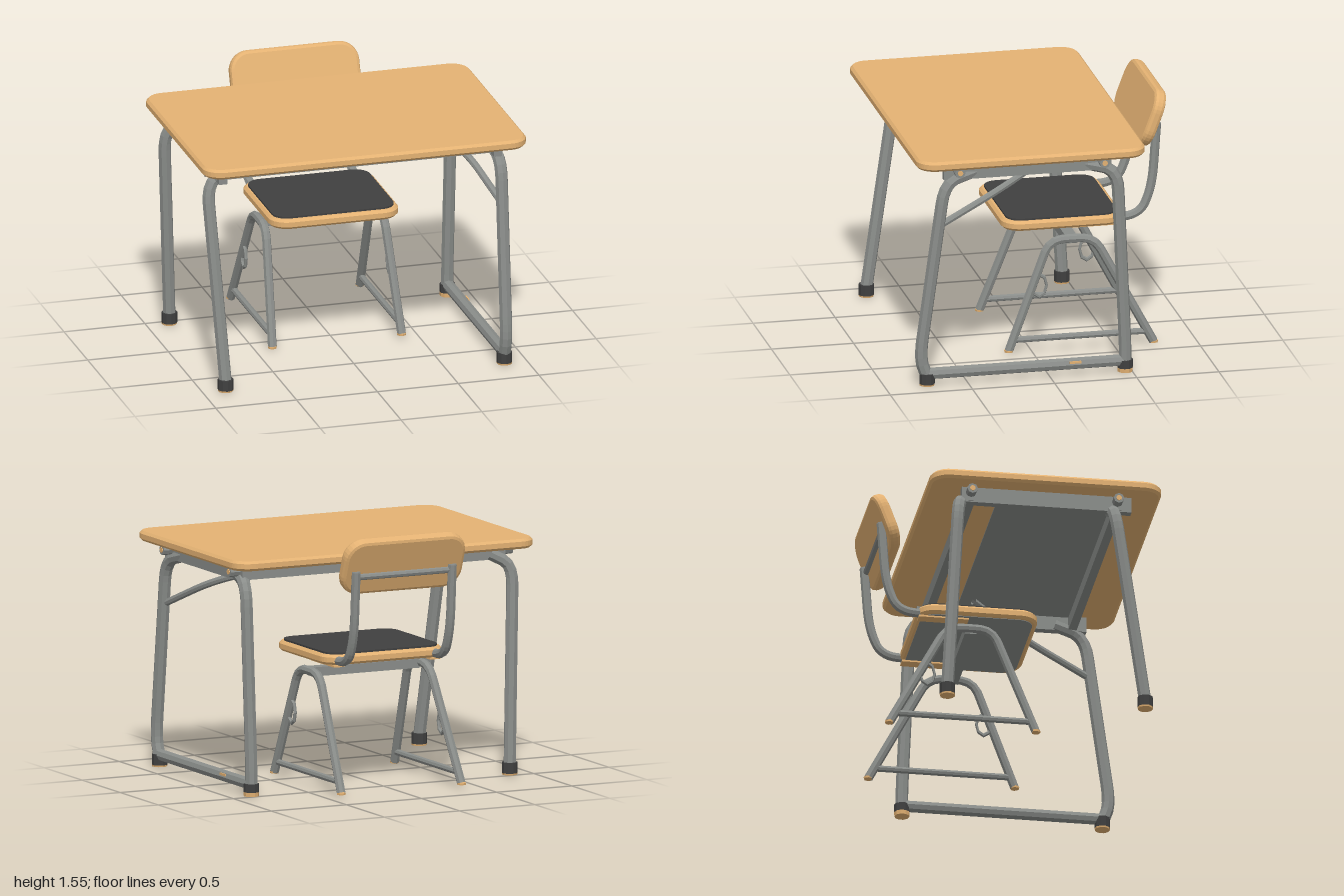
import * as THREE from 'three';

const mat = (name, color) => {
  const m = new THREE.MeshStandardMaterial({ color, flatShading: true, side: THREE.DoubleSide });
  m.name = name;
  return m;
};
const V = (p) => new THREE.Vector3(...p);

export function createModel() {
  const wood = mat('wood', 0xe4b273);
  const metal = mat('grey metal', 0x8a8d8a);
  const dark = mat('dark grey', 0x404040);

  const root = new THREE.Group();
  const table = new THREE.Group();
  const chair = new THREE.Group();
  table.name = 'table';
  chair.name = 'chair';
  root.add(table, chair);

  const add = (parent, name, geo, material, pos = [0, 0, 0]) => {
    const mesh = new THREE.Mesh(geo, material);
    mesh.name = name;
    mesh.position.set(...pos);
    parent.add(mesh);
    return mesh;
  };

  const roundedRect = (x0, x1, y0, y1, r) => {
    const s = new THREE.Shape();
    s.absarc(x1 - r, y1 - r, r, 0, Math.PI / 2);
    s.absarc(x0 + r, y1 - r, r, Math.PI / 2, Math.PI);
    s.absarc(x0 + r, y0 + r, r, Math.PI, Math.PI * 1.5);
    s.absarc(x1 - r, y0 + r, r, Math.PI * 1.5, Math.PI * 2);
    return s;
  };

  // Horizontal board with rounded corners and a chamfered rim
  const board = (x, z0, z1, top, h, r, b) => {
    const geo = new THREE.ExtrudeGeometry(roundedRect(-x + b, x - b, z0 + b, z1 - b, r), {
      depth: h - 2 * b, bevelEnabled: b > 0, bevelSize: b, bevelThickness: b, bevelSegments: 1, curveSegments: 4,
    });
    return geo.rotateX(Math.PI / 2).translate(0, top - b, 0);
  };

  // Bent tube: straight runs joined by rounded corners
  const tube = (points, radius, bend = 0.1, segs = 32) => {
    const p = points.map(V);
    const path = new THREE.CurvePath();
    let start = p[0];
    for (let i = 1; i < p.length - 1; i++) {
      const d0 = Math.min(bend, p[i].distanceTo(p[i - 1]) * 0.45);
      const d1 = Math.min(bend, p[i].distanceTo(p[i + 1]) * 0.45);
      const a = p[i].clone().add(p[i - 1].clone().sub(p[i]).setLength(d0));
      const c = p[i].clone().add(p[i + 1].clone().sub(p[i]).setLength(d1));
      path.add(new THREE.LineCurve3(start, a));
      path.add(new THREE.QuadraticBezierCurve3(a, p[i], c));
      start = c;
    }
    path.add(new THREE.LineCurve3(start, p[p.length - 1]));
    return new THREE.TubeGeometry(path, p.length > 2 ? segs : 1, radius, 8, false);
  };

  // ---- Table top and under-frame ----
  add(table, 'tableTop', board(1, -0.57, 0.82, 1.43, 0.06, 0.1, 0.015), wood);
  add(table, 'underPanel', new THREE.BoxGeometry(1.7, 0.008, 0.72), metal, [0, 1.364, 0.22]);
  for (const z of [0.56, -0.32]) {
    add(table, 'longRail', new THREE.BoxGeometry(1.76, 0.09, 0.05), metal, [0, 1.325, z]);
  }
  for (const s of [1, -1]) {
    add(table, 'sideRail', new THREE.BoxGeometry(0.05, 0.095, 1.02), metal, [s * 0.85, 1.322, 0.135]);
    for (const z of [0.56, -0.32]) {
      add(table, 'railBolt', new THREE.CylinderGeometry(0.032, 0.032, 0.08, 8).rotateZ(Math.PI / 2), metal, [s * 0.9, 1.335, z]);
      add(table, 'boltFace', new THREE.CylinderGeometry(0.017, 0.017, 0.006, 8).rotateZ(Math.PI / 2), wood, [s * 0.942, 1.335, z]);
    }
  }

  // ---- Table legs: foot to rail ----
  const legs = [
    ['frontLeftLeg', [[0.86, 0.05, 0.745], [0.86, 0.17, 0.79], [0.87, 1.26, 0.64], [0.84, 1.31, 0.45]]],
    ['rearLeftLeg', [[0.86, 0.05, -0.46], [0.86, 0.17, -0.46], [0.87, 1.27, -0.41], [0.84, 1.31, -0.22]]],
    ['frontRightLeg', [[-0.86, 0.05, 0.73], [-0.92, 1.25, 0.54], [-0.78, 1.32, 0.53]]],
    ['rearRightLeg', [[-0.86, 0.05, -0.46], [-0.91, 1.25, -0.4], [-0.78, 1.32, -0.36]]],
  ];
  for (const [name, pts] of legs) {
    add(table, name, tube(pts, 0.038, 0.13), metal);
    const [x, , z] = pts[0];
    const pad = x > 0 && z < 0 ? 0.025 : 0.01;
    add(table, 'footCap', new THREE.CylinderGeometry(0.047, 0.047, 0.075 - pad, 10), dark, [x, (0.075 + pad) / 2, z]);
    add(table, 'footPad', new THREE.CylinderGeometry(0.047, 0.045, pad, 10), wood, [x, pad / 2, z]);
  }
  // Floor bar with its small tag, and diagonal brace on the left side
  add(table, 'floorBar', tube([[0.86, 0.07, 0.74], [0.86, 0.07, -0.46]], 0.036), metal);
  add(table, 'floorBarTag', new THREE.BoxGeometry(0.008, 0.014, 0.07), wood, [0.893, 0.086, -0.15]);
  add(table, 'brace', tube([[0.86, 1.0, 0.65], [0.76, 1.19, 0.22], [0.54, 1.29, -0.08]], 0.022, 0.25), metal);

  // ---- Chair seat ----
  add(chair, 'seat', board(0.4, -0.56, 0.17, 0.82, 0.06, 0.1, 0.015), wood);
  add(chair, 'seatPad', board(0.375, -0.53, 0.14, 0.831, 0.012, 0.09, 0), dark);
  add(chair, 'seatUnderside', board(0.375, -0.53, 0.14, 0.761, 0.004, 0.09, 0), metal);

  // ---- Chair leg frames ----
  for (const s of [1, -1]) {
    const side = new THREE.Group();
    side.name = s > 0 ? 'leftChairFrame' : 'rightChairFrame';
    chair.add(side);
    const feet = [[s * 0.4, 0.02, 0.145], [s * 0.4, 0.02, -0.735]];
    add(side, 'legLoop', tube([feet[0], [s * 0.365, 0.685, -0.11], [s * 0.365, 0.685, -0.38], feet[1]], 0.027, 0.09, 40), metal);
    add(side, 'lowerBar', tube([[s * 0.395, 0.085, 0.12], [s * 0.395, 0.085, -0.7]], 0.02), metal);
    for (const f of feet) {
      add(side, 'footPad', new THREE.CylinderGeometry(0.028, 0.027, 0.012, 8), wood, [f[0], 0.02, f[2]]);
    }
    // One hanging hook per frame: front leg on the left, rear leg on the right
    const hook = add(side, 'hook', new THREE.TorusGeometry(0.055, 0.011, 6, 8).rotateY(Math.PI / 2), metal,
      s > 0 ? [0.38, 0.41, -0.045] : [-0.385, 0.36, -0.505]);
    hook.scale.set(1, 1.25, 0.8);

    // Back post, bent up from a runner beneath the seat
    add(side, 'seatRunner', new THREE.BoxGeometry(0.07, 0.012, 0.3), wood, [s * 0.32, 0.753, -0.4]);
    add(side, 'backPost', tube([[s * 0.32, 0.785, -0.42], [s * 0.32, 0.785, -0.67], [s * 0.32, 0.97, -0.745],
      [s * 0.32, 1.35, -0.772]], 0.028, 0.13), metal);
    add(side, 'postCap', new THREE.CylinderGeometry(0.026, 0.028, 0.01, 8), metal, [s * 0.32, 1.35, -0.772]);
  }
  add(chair, 'underSeatBar', new THREE.BoxGeometry(0.72, 0.055, 0.07), metal, [0, 0.68, -0.24]);
  add(chair, 'backBar', tube([[-0.33, 1.32, -0.762], [0.33, 1.32, -0.762]], 0.02), metal);

  // ---- Backrest: rounded panel, leaning back ----
  const b = 0.022;
  const back = new THREE.ExtrudeGeometry(roundedRect(-0.4 + b, 0.4 - b, -0.178 + b, 0.178 - b, 0.1), {
    depth: 0.028, bevelSize: b, bevelThickness: b, bevelSegments: 2, curveSegments: 4,
  }).translate(0, 0, -0.014);
  add(chair, 'backrest', back, wood, [0, 1.382, -0.743]).rotation.x = -0.36;

  return root;
}
